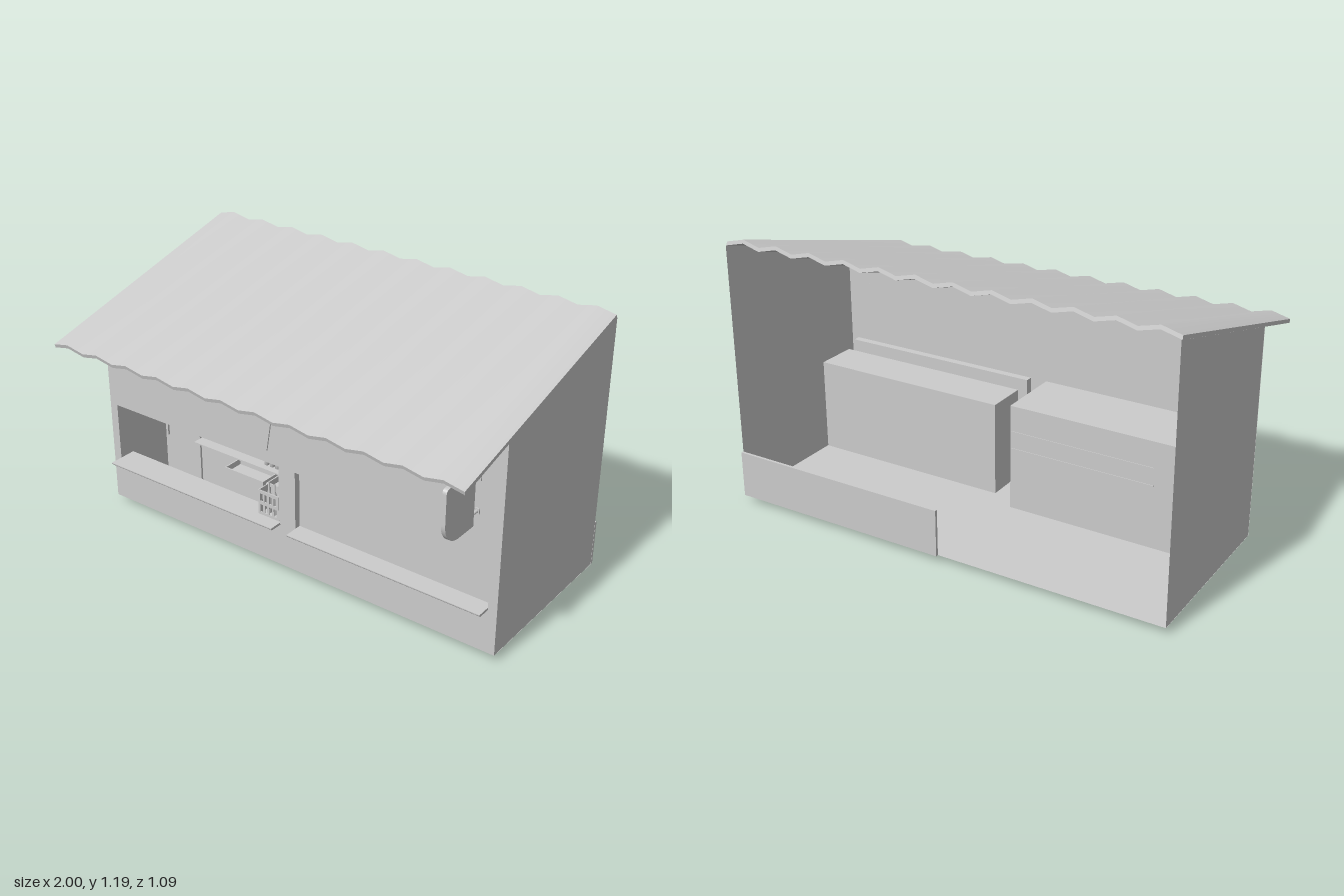
import * as THREE from 'three';

const FRONT = 0.255, BACK = -0.535, FLOOR = 0.03;

export function createModel() {
  const kiosk = new THREE.Group();
  kiosk.name = 'kiosk';
  const mat = new THREE.MeshStandardMaterial({ color: 0xcccccc, side: THREE.DoubleSide });

  const add = (name, geo, x = 0, y = 0, z = 0) => {
    const m = new THREE.Mesh(geo, mat);
    m.name = name;
    m.position.set(x, y, z);
    kiosk.add(m);
    return m;
  };
  // box given by its limits on each axis
  const box = (name, x0, x1, y0, y1, z0, z1) =>
    add(name, new THREE.BoxGeometry(x1 - x0, y1 - y0, z1 - z0), (x0 + x1) / 2, (y0 + y1) / 2, (z0 + z1) / 2);
  const poly = pts => new THREE.Shape(pts.map(p => new THREE.Vector2(...p)));
  const rect = (x0, x1, y0, y1) => poly([[x0, y0], [x1, y0], [x1, y1], [x0, y1]]);
  const extrude = (shape, depth) => new THREE.ExtrudeGeometry(shape, { depth, bevelEnabled: false, curveSegments: 12 });

  // corrugated sloping roof
  const roofGeo = new THREE.BoxGeometry(2, 0.016, 1.104, 24, 1, 1);
  const p = roofGeo.attributes.position;
  for (let i = 0; i < p.count; i++) {
    const ridge = Math.round((p.getX(i) + 1) * 12) % 2;
    p.setY(i, p.getY(i) + (ridge ? 0.01 : -0.01));
  }
  roofGeo.computeVertexNormals();
  add('roof', roofGeo, 0, 1.03, 0.0085).rotation.x = Math.atan(0.267);

  // thin side walls, floor and low back wall
  const sideShape = poly([[BACK, FLOOR], [FRONT, FLOOR], [FRONT, 0.945], [BACK, 1.156]]);
  for (const s of [-1, 1]) {
    const g = new THREE.ShapeGeometry(sideShape);
    g.rotateY(-Math.PI / 2);
    add(s > 0 ? 'leftWall' : 'rightWall', g, s * 0.999);
  }
  const floorGeo = new THREE.PlaneGeometry(2, FRONT - BACK);
  floorGeo.rotateX(-Math.PI / 2);
  add('floor', floorGeo, 0, FLOOR, (FRONT + BACK) / 2);
  box('lowBackWall', 0, 1, FLOOR, 0.235, -0.547, BACK);

  // front wall with two serving windows
  const front = rect(-1, 1, FLOOR, 0.945);
  for (const [a, b] of [[-0.96, -0.04], [0.04, 0.96]]) {
    front.holes.push(rect(a, b, 0.225, 0.5));
  }
  add('frontWall', new THREE.ShapeGeometry(front), 0, 0, FRONT);

  // sills with a rounded outer edge
  const sill = (name, x0, x1, inner) => {
    const s = new THREE.Shape();
    s.moveTo(inner, 0.224);
    s.lineTo(0.307, 0.224);
    s.quadraticCurveTo(0.316, 0.226, 0.316, 0.235);
    s.lineTo(inner, 0.235);
    const g = extrude(s, x1 - x0);
    g.rotateY(-Math.PI / 2);
    add(name, g, x1);
  };
  sill('rightSill', -0.96, -0.04, 0.18);
  sill('leftSill', 0.04, 0.96, 0.225);

  // closed window: shutter set back in its reveal, with storage box behind
  box('shutter', 0.04, 0.96, 0.225, 0.5, 0.222, 0.226);
  box('shutterReveal', 0.036, 0.04, 0.225, 0.5, 0.222, FRONT);
  box('shutterReveal', 0.96, 0.964, 0.225, 0.5, 0.222, FRONT);
  box('shutterHead', 0.036, 0.964, 0.5, 0.504, 0.222, FRONT);
  box('storageBox', 0.08, 0.998, FLOOR, 0.45, 0.03, 0.22);

  // raised hatch panel on the wall
  add('hatchPanel', extrude(poly([[-0.9, 0.557], [-0.1, 0.557], [-0.06, 0.795], [-0.94, 0.795]]), 0.006), 0, 0, FRONT);

  // booth interior behind the open window
  const Z = -0.04;
  box('boothBack', -0.998, -0.045, FLOOR, 0.5, Z - 0.003, Z);
  box('boothTop', -0.998, -0.04, 0.5, 0.504, Z - 0.003, FRONT);
  box('boothSide', -0.045, -0.04, FLOOR, 0.5, Z - 0.003, FRONT);
  box('boothSide', -0.965, -0.96, FLOOR, 0.5, Z, FRONT);
  box('boothDoor', -0.93, -0.74, 0.02, 0.48, Z, -0.03);
  box('doorHandle', -0.932, -0.928, 0.245, 0.32, -0.03, -0.02);
  box('upperShelf', -0.7, -0.045, 0.384, 0.39, Z - 0.006, 0.05);
  box('lowerShelf', -0.7, -0.045, 0.306, 0.312, Z - 0.006, 0.05);

  // open cabinets with base lips below the floor
  for (const [a, b] of [[-0.5, -0.28], [-0.265, -0.05]]) {
    box('cabinet', a, b, 0.022, 0.235, -0.03, 0.075);
    box('cabinetLip', a, b, 0, 0.022, -0.035, -0.01);
    for (const z of [-0.03, 0.069]) box('trayRim', a, b, 0.235, 0.262, z, z + 0.006);
    for (const x of [a, b - 0.006]) box('trayRim', x, x + 0.006, 0.235, 0.262, -0.03, 0.075);
  }

  // pots, plates and bottles on the shelves
  for (const x of [-0.62, -0.385, -0.3]) {
    add('pot', new THREE.CylinderGeometry(0.033, 0.031, 0.034, 20), x, 0.407, 0.01);
  }
  const plate = new THREE.CylinderGeometry(0.032, 0.02, 0.006, 20);
  for (let i = 0; i < 2; i++) add('plate', plate, -0.625, 0.315 + i * 0.006, 0.01);
  for (let i = 0; i < 6; i++) add('plate', plate, -0.53, 0.315 + i * 0.008, 0.01);
  add('plate', plate, -0.48, 0.316, 0.02);
  const bottle = new THREE.LatheGeometry(
    [[0, 0], [0.011, 0], [0.011, 0.034], [0.004, 0.048], [0.004, 0.062], [0, 0.062]].map(q => new THREE.Vector2(...q)), 14);
  for (const x of [-0.31, -0.28, -0.25, -0.12, -0.1]) add('bottle', bottle, x, 0.312, 0.01);

  // slotted crate with bottles on the sill
  const face = rect(-0.055, 0.055, 0, 0.115);
  for (let r = 0; r < 2; r++) for (let c = 0; c < 4; c++) {
    const x = -0.044 + c * 0.024, y = 0.012 + r * 0.052;
    face.holes.push(rect(x, x + 0.014, y, y + 0.036));
  }
  for (const z of [0.18, 0.246]) add('crateFace', extrude(face, 0.005), -0.105, 0.235, z);
  for (const x of [-0.16, -0.055]) box('crateEnd', x, x + 0.005, 0.235, 0.35, 0.18, 0.25);
  for (const x of [-0.13, -0.1, -0.075]) {
    const b = add('crateBottle', bottle, x, 0.235, 0.215);
    b.scale.y = 2.3;
  }

  // projecting sign with one large rounded corner, on two brackets
  const sign = new THREE.Shape();
  sign.moveTo(0.295, 0.59);
  sign.lineTo(0.295, 0.81);
  sign.lineTo(0.275 + 0.04, 0.83);
  sign.lineTo(0.51 - 0.04, 0.83);
  sign.quadraticCurveTo(0.49, 0.83, 0.49, 0.81);
  sign.lineTo(0.49, 0.685);
  sign.absarc(0.395, 0.685, 0.095, 0, -Math.PI / 2, true);
  const signGeo = extrude(sign, 0.018);
  signGeo.rotateY(-Math.PI / 2);
  add('sign', signGeo, 0.899);
  for (const y of [0.635, 0.775]) {
    const rod = new THREE.CylinderGeometry(0.006, 0.006, 0.045, 12);
    rod.rotateX(Math.PI / 2);
    add('signBracket', rod, 0.89, y, 0.277);
    box('bracketPlate', 0.88, 0.9, y - 0.012, y + 0.012, FRONT, 0.26);
  }
  return kiosk;
}
